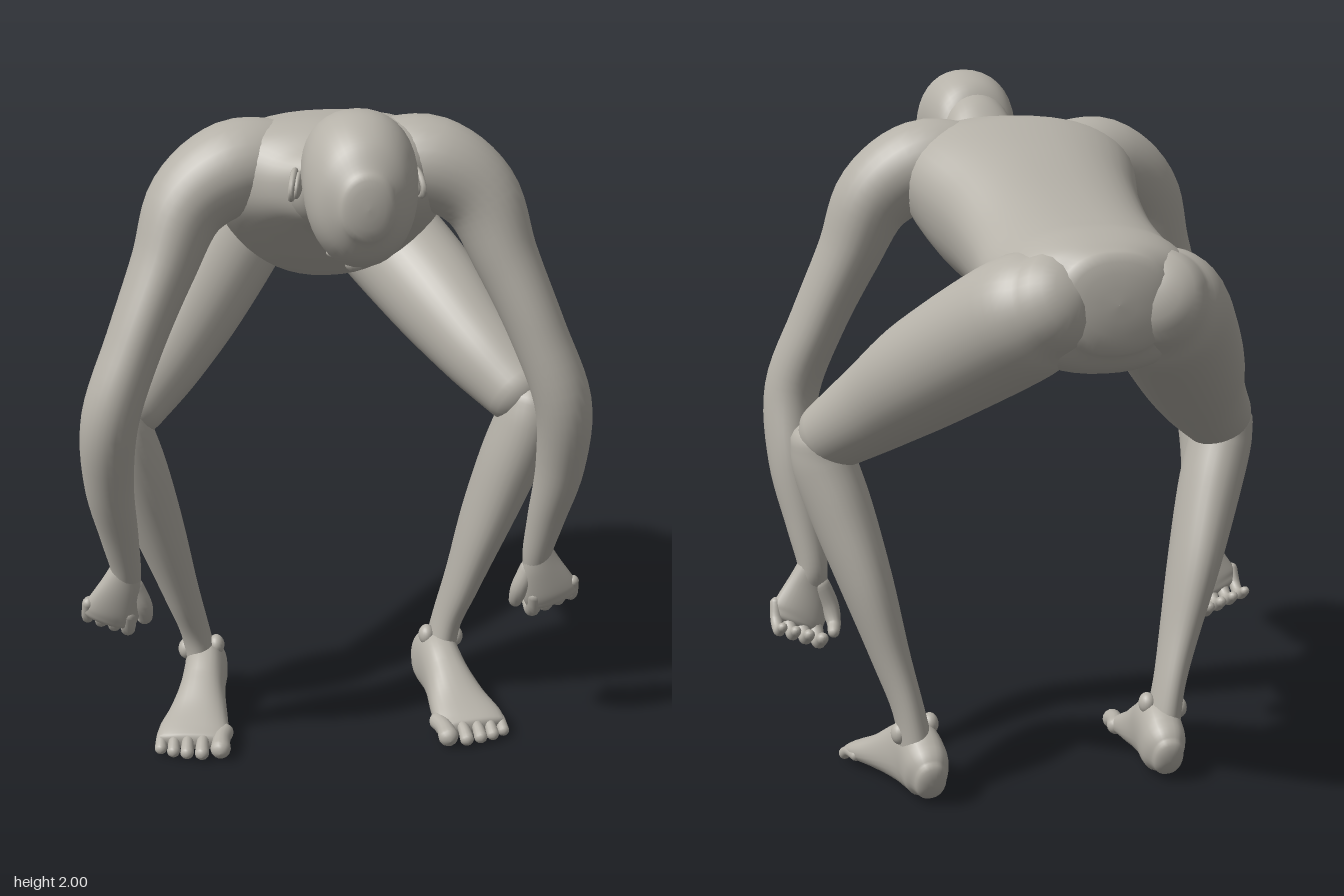
import * as THREE from 'three';

const skin = new THREE.MeshStandardMaterial({ color: 0xb5b1a8 });
skin.name = 'warm grey skin';

// Smooth tube through sections [x, y, z, halfWidth, halfHeight, taper], with domed ends.
// ref: direction of halfWidth. upright: keep every section in the xy plane.
function loft(sections, { s = 1, ref = [1, 0, 0], upright = false, dome = 0.7, power = 2, steps = 6, sides = 28 } = {}) {
  const path = new THREE.CatmullRomCurve3(sections.map(p => new THREE.Vector3(p[0] * s, p[1], p[2])), false, 'catmullrom');
  const size = new THREE.CatmullRomCurve3(sections.map(p => new THREE.Vector3(p[3], p[4], p[5] || 0)), false, 'catmullrom');
  const pos = [], index = [];
  const n = (sections.length - 1) * steps, capRings = 5;
  const rings = [];
  for (let i = capRings; i >= 1; i--) rings.push([0, -i / capRings]);
  for (let i = 0; i <= n; i++) rings.push([i / n, 0]);
  for (let i = 1; i <= capRings; i++) rings.push([1, i / capRings]);

  for (const [t, cap] of rings) {
    const c = path.getPoint(t), r = size.getPoint(t);
    const dir = upright ? new THREE.Vector3(0, 0, 1) : path.getTangent(t);
    const side = new THREE.Vector3(...ref);
    side.addScaledVector(dir, -side.dot(dir)).normalize();
    const up = dir.clone().cross(side);
    const a = cap * Math.PI / 2, k = Math.max(Math.cos(a), 0.001);
    c.addScaledVector(dir, Math.sin(a) * Math.min(r.x, r.y) * dome);
    for (let j = 0; j < sides; j++) {
      const q = j / sides * Math.PI * 2, cs = Math.cos(q), sn = Math.sin(q);
      const u = Math.sign(cs) * Math.abs(cs) ** (2 / power), v = Math.sign(sn) * Math.abs(sn) ** (2 / power);
      const p = c.clone().addScaledVector(side, u * r.x * k * (1 + r.z * v)).addScaledVector(up, v * r.y * k);
      pos.push(p.x, p.y, p.z);
    }
  }
  for (let i = 0; i < rings.length - 1; i++) {
    for (let j = 0; j < sides; j++) {
      const a = i * sides + j, b = i * sides + (j + 1) % sides;
      index.push(a, b, a + sides, b, b + sides, a + sides);
    }
  }
  const g = new THREE.BufferGeometry();
  g.setAttribute('position', new THREE.Float32BufferAttribute(pos, 3));
  g.setIndex(index);
  g.computeVertexNormals();
  return g;
}

export function createModel() {
  const model = new THREE.Group();
  model.name = 'bendingFigure';
  const add = (name, geometry, parent = model) => {
    const m = new THREE.Mesh(geometry, skin);
    m.name = name;
    parent.add(m);
    return m;
  };
  const ball = (name, p, r, parent) => {
    const m = add(name, new THREE.SphereGeometry(1, 20, 14), parent);
    m.position.set(...p);
    m.scale.set(...r);
    return m;
  };

  // Torso, from seat to base of neck
  add('torso', loft([
    [0, 1.465, -0.82, 0.15, 0.13],
    [0, 1.455, -0.77, 0.23, 0.165],
    [0, 1.46, -0.69, 0.262, 0.182],
    [0, 1.49, -0.55, 0.268, 0.163],
    [0, 1.53, -0.39, 0.26, 0.18, 0.05],
    [0, 1.585, -0.2, 0.275, 0.215, 0.12],
    [0, 1.635, -0.02, 0.315, 0.235, 0.2],
    [0, 1.675, 0.1, 0.33, 0.208, 0.2],
    [0, 1.71, 0.2, 0.29, 0.165, 0.1],
    [0, 1.72, 0.28, 0.2, 0.117],
    [0, 1.728, 0.34, 0.12, 0.1],
  ], { upright: true, power: 2.25, dome: 0.25, sides: 48 }));

  // Neck
  add('neck', loft([
    [0, 1.715, 0.2, 0.25, 0.13],
    [0, 1.72, 0.29, 0.165, 0.116],
    [0, 1.735, 0.37, 0.118, 0.1],
    [0, 1.8, 0.46, 0.105, 0.108],
    [0, 1.85, 0.56, 0.105, 0.1],
  ], { upright: true, dome: 0.3, sides: 36 }));

  // Head, crown forward and face down
  const head = new THREE.Group();
  head.name = 'head';
  model.add(head);
  add('skull', loft([
    [0, 1.665, 0.435, 0.045, 0.03],
    [0, 1.71, 0.458, 0.085, 0.105, 0.1],
    [0, 1.77, 0.51, 0.115, 0.168, 0.18],
    [0, 1.797, 0.58, 0.13, 0.188, 0.2],
    [0, 1.812, 0.66, 0.138, 0.188, 0.15],
    [0, 1.808, 0.73, 0.138, 0.183, 0.06],
    [0, 1.803, 0.8, 0.114, 0.146],
    [0, 1.8, 0.845, 0.068, 0.085],
  ], { upright: true, dome: 0.3, power: 2.1, sides: 40 }), head);
  add('nose', loft([
    [0, 1.632, 0.665, 0.014, 0.016],
    [0, 1.608, 0.62, 0.017, 0.02],
    [0, 1.597, 0.585, 0.025, 0.022],
  ], { upright: true, sides: 16 }), head);
  ball('upperLip', [0, 1.606, 0.53, ], [0.036, 0.016, 0.014], head);
  ball('lowerLip', [0, 1.612, 0.508], [0.032, 0.016, 0.013], head);
  ball('chin', [0, 1.645, 0.455], [0.05, 0.035, 0.028], head);

  for (const s of [1, -1]) {
    const sideName = s > 0 ? 'left' : 'right';
    const part = name => sideName + name;
    ball(part('Eyelid'), [s * 0.05, 1.642, 0.645], [0.028, 0.016, 0.016], head);

    // Ear: a flat shell with a raised rim
    const ear = new THREE.Group();
    ear.name = part('Ear');
    ear.position.set(s * 0.143, 1.805, 0.605);
    ear.rotation.set(0.35, s * 0.22, 0);
    head.add(ear);
    ball('earShell', [0, 0, 0], [0.012, 0.03, 0.045], ear);
    const rim = add('earRim', new THREE.TorusGeometry(0.033, 0.008, 8, 24), ear);
    rim.rotation.y = Math.PI / 2;
    rim.scale.set(1.35, 0.9, 1);
    rim.position.x = s * 0.012;

    // Arm, shoulder to wrist
    add(part('Arm'), loft([
      [0.13, 1.74, 0.1, 0.13, 0.125],
      [0.27, 1.745, 0.125, 0.14, 0.128],
      [0.395, 1.66, 0.15, 0.125, 0.112],
      [0.465, 1.5, 0.185, 0.115, 0.09],
      [0.55, 1.3, 0.235, 0.105, 0.079],
      [0.622, 1.1, 0.27, 0.09, 0.079],
      [0.633, 0.9, 0.225, 0.078, 0.069],
      [0.61, 0.72, 0.175, 0.057, 0.054],
      [0.594, 0.6, 0.145, 0.044, 0.043],
      [0.6, 0.54, 0.14, 0.03, 0.045],
    ], { s, ref: [0, 0, 1] }));

    // Hand with loosely curled fingers
    const hand = new THREE.Group();
    hand.name = part('Hand');
    model.add(hand);
    add('palm', loft([
      [0.596, 0.6, 0.145, 0.042, 0.038],
      [0.612, 0.54, 0.143, 0.062, 0.035],
      [0.635, 0.475, 0.135, 0.08, 0.033],
      [0.648, 0.445, 0.13, 0.08, 0.028],
    ], { s }), hand);
    for (let i = 0; i < 4; i++) {
      const x = 0.59 + i * 0.038, y = 0.425 + i * 0.014, r = 0.022 - i * 0.0015;
      add('finger', loft([
        [x, y + 0.03, 0.14, r, r],
        [x + 0.003, y - 0.015, 0.12, r, r],
        [x + 0.003, y - 0.036, 0.08, r * 0.9, r * 0.9],
        [x, y - 0.012, 0.03, r * 0.8, r * 0.8],
      ], { s, sides: 12, dome: 1, steps: 4 }), hand);
    }
    add('thumb', loft([
      [0.575, 0.54, 0.135, 0.03, 0.028],
      [0.55, 0.48, 0.13, 0.028, 0.026],
      [0.542, 0.435, 0.11, 0.021, 0.021],
      [0.548, 0.415, 0.08, 0.017, 0.017],
    ], { s, sides: 14, dome: 1 }), hand);

    // Upper leg, seat to knee
    add(part('UpperLeg'), loft([
      [0.135, 1.465, -0.755, 0.125, 0.13],
      [0.195, 1.415, -0.655, 0.162, 0.163],
      [0.355, 1.25, -0.375, 0.155, 0.155],
      [0.465, 1.125, -0.19, 0.128, 0.128],
      [0.565, 1.025, -0.06, 0.105, 0.1],
    ], { s, dome: 0.8, sides: 36 }));

    // Lower leg, knee to ankle
    add(part('LowerLeg'), loft([
      [0.6, 1.01, -0.04, 0.082, 0.096],
      [0.585, 0.93, -0.04, 0.09, 0.108],
      [0.545, 0.8, -0.065, 0.088, 0.115],
      [0.486, 0.6, -0.11, 0.073, 0.111],
      [0.43, 0.4, -0.145, 0.054, 0.086],
      [0.388, 0.25, -0.177, 0.044, 0.07],
      [0.362, 0.11, -0.185, 0.05, 0.075],
    ], { s }));

    // Foot and toes
    const foot = new THREE.Group();
    foot.name = part('Foot');
    model.add(foot);
    add('footBody', loft([
      [0.35, 0.075, -0.285, 0.045, 0.062],
      [0.352, 0.092, -0.24, 0.064, 0.088],
      [0.36, 0.108, -0.16, 0.064, 0.106],
      [0.375, 0.088, -0.07, 0.07, 0.085],
      [0.392, 0.062, 0.02, 0.088, 0.058],
      [0.408, 0.046, 0.09, 0.105, 0.04],
      [0.413, 0.036, 0.13, 0.108, 0.03],
    ], { s, power: 2.3, dome: 0.6 }), foot);
    ball('ankleInner', [s * 0.325, 0.2, -0.17], [0.025, 0.032, 0.03], foot);
    ball('ankleOuter', [s * 0.415, 0.185, -0.185], [0.025, 0.032, 0.03], foot);
    [[0.332, 0.03, 0.185], [0.387, 0.021, 0.19], [0.43, 0.02, 0.18], [0.469, 0.019, 0.165], [0.505, 0.018, 0.142]]
      .forEach(([x, r, z]) => add('toe', loft([
        [x - 0.012, 0.042, z - 0.085, r * 0.9, r * 0.9],
        [x, 0.042, z - 0.04, r * 0.85, r * 0.85],
        [x + 0.005, r + 0.004, z, r, r],
      ], { s, sides: 14, dome: 0.9, steps: 4 }), foot));
  }
  return model;
}
